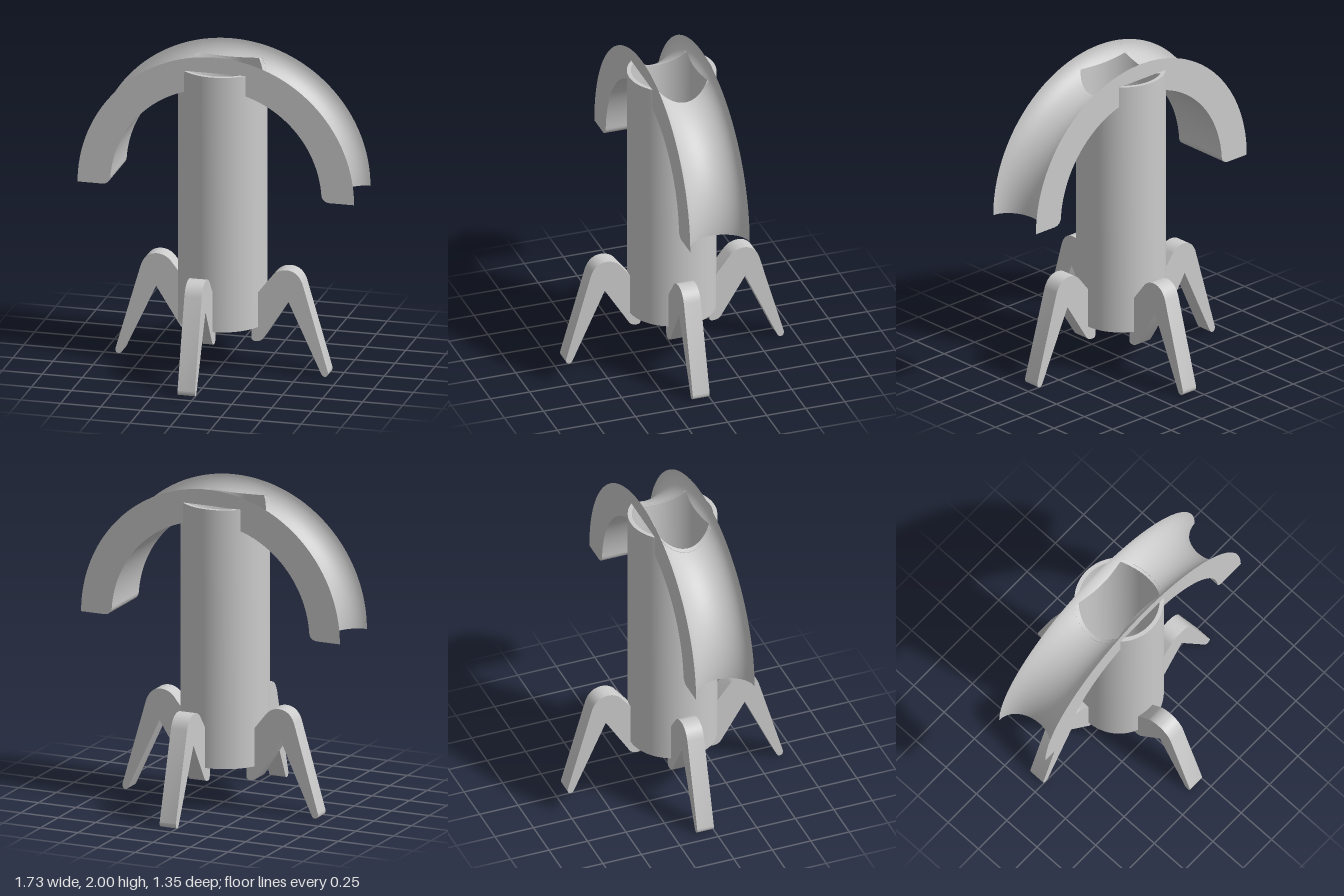
import * as THREE from 'three';
import { toCreasedNormals } from 'three/addons/utils/BufferGeometryUtils.js';

const material = new THREE.MeshStandardMaterial({ color: 0xcccccc });

const ARCH_Y = 1.137, R_OUT = 0.863, R_IN = 0.66, HALF = 0.19, DEPTH = 0.15;
const TUBE_TOP = 1.9, TUBE_BOTTOM = 0.28, TUBE_R = 0.27, TUBE_IN = 0.245, WALL = 0.257;

// Radius of the arch's hollowed outer face at a given z, and its height at x, z
const channelR = z => R_OUT - DEPTH * Math.sqrt(Math.max(0, 1 - (z / HALF) ** 2));
const channelY = (x, z) => ARCH_Y + Math.sqrt(channelR(z) ** 2 - x * x);

function addMesh(parent, name, geometry, crease = 0.6) {
  const mesh = new THREE.Mesh(toCreasedNormals(geometry, crease), material);
  mesh.name = name;
  parent.add(mesh);
  return mesh;
}

// Skin a list of equal closed loops; each loop is a top row then the reversed bottom row
function loft(loops) {
  const m = loops[0].length, last = loops.length - 1;
  const index = [];
  const quad = (a, b, c, d) => index.push(a, b, c, a, c, d);
  for (let j = 0; j < last; j++)
    for (let i = 0; i < m; i++) {
      const k = (i + 1) % m;
      quad(j * m + i, (j + 1) * m + i, (j + 1) * m + k, j * m + k);
    }
  for (let i = 0; i < m / 2 - 1; i++) {
    quad(i, i + 1, m - 2 - i, m - 1 - i);
    const e = last * m;
    quad(e + i, e + m - 1 - i, e + m - 2 - i, e + i + 1);
  }
  const geometry = new THREE.BufferGeometry();
  geometry.setAttribute('position', new THREE.Float32BufferAttribute(loops.flat(2), 3));
  geometry.setIndex(index);
  return geometry;
}

// Half of the arch, from its free end up to the tube wall
function archArm() {
  const COLS = 24, STEPS = 48, ROUND = 0.045, loops = [];
  for (let j = 0; j <= STEPS; j++) {
    const t = (j / STEPS) ** 1.4; // finer steps at the rounded end
    const point = (z, radius) => {
      const theta = Math.acos(Math.sqrt(WALL ** 2 - z * z) / radius) * t;
      const s = Math.min(1, radius * Math.sin(theta) / ROUND);
      const r = radius === R_IN ? radius + ROUND * (1 - Math.sqrt(1 - (1 - s) ** 2)) : radius;
      return [r * Math.cos(theta), ARCH_Y + r * Math.sin(theta), z];
    };
    const top = [], bottom = [];
    for (let i = 0; i <= COLS; i++) {
      const z = -HALF * Math.cos(Math.PI * i / COLS);
      top.push(point(z, channelR(z)));
      bottom.unshift(point(z, R_IN));
    }
    loops.push([...top, ...bottom]);
  }
  return loft(loops);
}

// Thin rim of the arch that bridges over the open tube mouth
function archRim() {
  const loops = [];
  for (let j = 0; j <= 20; j++) {
    const x = -0.2 + 0.02 * j;
    const s = (R_OUT - Math.hypot(x, TUBE_TOP - ARCH_Y)) / DEPTH;
    const inner = HALF * Math.sqrt(1 - s * s);
    const top = [], bottom = [];
    for (let i = 0; i <= 8; i++) {
      const z = HALF + (inner - HALF) * (i / 8) ** 2;
      top.push([x, channelY(x, z), z]);
      bottom.unshift([x, TUBE_TOP, z]);
    }
    loops.push([...top, ...bottom]);
  }
  return loft(loops);
}

// Hollow tube whose top edge is cut away along the arch channel
function tube() {
  const profile = [[TUBE_R, TUBE_BOTTOM], [TUBE_R, TUBE_TOP], [TUBE_IN, TUBE_TOP], [TUBE_IN, TUBE_BOTTOM], [TUBE_R, TUBE_BOTTOM]];
  const geometry = new THREE.LatheGeometry(profile.map(p => new THREE.Vector2(...p)), 128);
  const p = geometry.attributes.position;
  for (let i = 0; i < p.count; i++)
    if (p.getY(i) > 1) p.setY(i, Math.min(TUBE_TOP, channelY(p.getX(i), p.getZ(i))));
  return geometry;
}

// Bent leg with a rounded knee, drawn outward along x
function leg() {
  const s = new THREE.Shape();
  s.moveTo(0.43, 0.46);
  s.lineTo(0.276, 0.215);
  s.quadraticCurveTo(0.26, 0.19, 0.225, 0.19);
  s.quadraticCurveTo(0.2, 0.19, 0.2, 0.215);
  s.lineTo(0.2, TUBE_BOTTOM);
  s.lineTo(0.24, TUBE_BOTTOM);
  s.lineTo(0.24, 0.5);
  s.lineTo(0.335, 0.62);
  s.quadraticCurveTo(0.37, 0.657, 0.42, 0.657);
  s.quadraticCurveTo(0.49, 0.655, 0.518, 0.58);
  s.lineTo(0.677, 0.032);
  s.quadraticCurveTo(0.68, 0.003, 0.66, 0);
  s.quadraticCurveTo(0.645, 0, 0.638, 0.012);
  s.closePath();
  return new THREE.ExtrudeGeometry(s, { depth: 0.108, bevelEnabled: false, curveSegments: 10 });
}

export function createModel() {
  const model = new THREE.Group();
  model.name = 'archedTubeOnLegs';

  addMesh(model, 'tube', tube()).position.x = -0.008;

  // Arch: two arms and the two rims between them
  const arch = new THREE.Group();
  arch.name = 'arch';
  model.add(arch);
  for (const [side, turn] of [['left', 0], ['right', Math.PI]])
    addMesh(arch, side + 'ArchArm', archArm()).rotation.y = turn;
  for (const [side, turn] of [['front', 0], ['back', Math.PI]])
    addMesh(arch, side + 'ArchRim', archRim()).rotation.y = turn;

  // Four legs set off-centre like a pinwheel
  ['left', 'back', 'right', 'front'].forEach((side, i) => {
    addMesh(model, side + 'Leg', leg()).rotation.y = i * Math.PI / 2;
  });

  return model;
}
